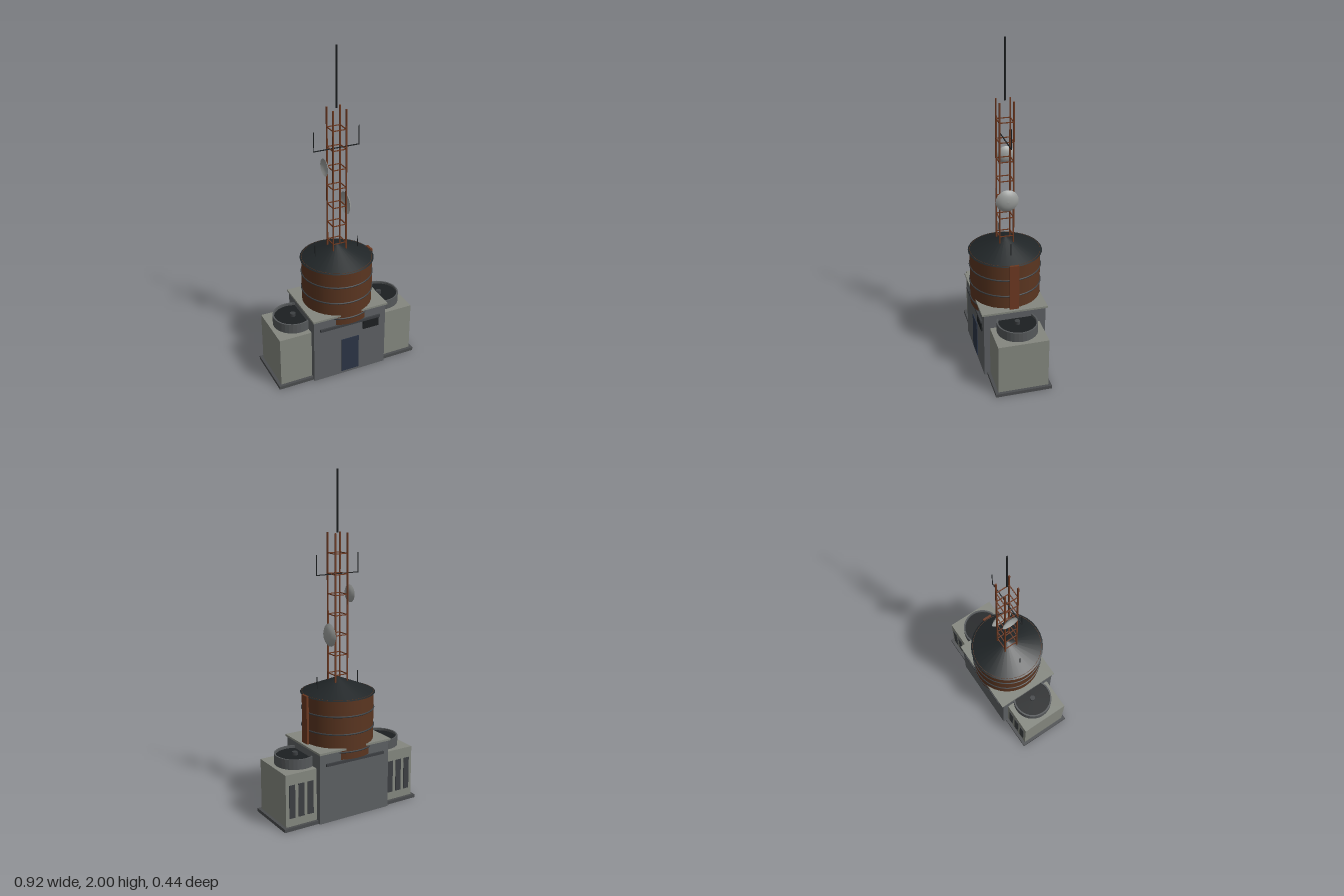
import * as THREE from 'three';

const mat = (color, side = THREE.FrontSide) => {
  const m = new THREE.MeshStandardMaterial({ side });
  m.color.set(color);
  return m;
};
const M = {
  base: mat(0x4a4c4e), wall: mat(0x5c5f62), light: mat(0x84877f), dark: mat(0x1c1f21),
  trim: mat(0x3c3f42), door: mat(0x2b3445), tank: mat(0x5a3520), rust: mat(0x6b3820),
  roof: mat(0x202527), shroud: mat(0x55585a, THREE.DoubleSide), dish: mat(0x9a9d9b, THREE.DoubleSide),
};

export function createModel() {
  const model = new THREE.Group();

  const add = (name, geo, material, x, y, z, parent = model) => {
    const mesh = new THREE.Mesh(geo, material);
    mesh.name = name;
    mesh.position.set(x, y, z);
    parent.add(mesh);
    return mesh;
  };
  // box given by its centre in x and z and its bottom and top in y
  const box = (name, material, x, z, w, d, y0, y1, parent) =>
    add(name, new THREE.BoxGeometry(w, y1 - y0, d), material, x, (y0 + y1) / 2, z, parent);
  const rod = (name, material, x, z, r, y0, y1, parent) =>
    add(name, new THREE.CylinderGeometry(r, r, y1 - y0, 8), material, x, (y0 + y1) / 2, z, parent);

  // Foundation and central building
  box('foundation', M.base, 0, 0, 0.916, 0.34, 0, 0.02);
  box('mainBuilding', M.wall, 0, 0, 0.476, 0.376, 0.002, 0.428);
  box('roofSlab', M.light, 0, 0, 0.49, 0.4, 0.426, 0.438);
  box('door', M.door, 0, 0.188, 0.114, 0.01, 0.02, 0.252);
  box('window', M.dark, 0.138, 0.188, 0.106, 0.014, 0.29, 0.345);
  for (const s of [1, -1]) box('wallLedge', M.trim, 0, s * 0.19, 0.396, 0.018, 0.35, 0.366);

  // Side wings, each with a cooling fan on top and louvres at the back
  for (const s of [1, -1]) {
    const wing = new THREE.Group();
    wing.name = s > 0 ? 'leftWing' : 'rightWing';
    model.add(wing);
    box('wingBody', M.light, s * 0.335, 0, 0.21, 0.304, 0.02, 0.335, wing);
    for (let i = -1; i <= 1; i++) {
      box('louvre', M.trim, s * 0.34 + i * 0.06, -0.152, 0.038, 0.008, 0.07, 0.27, wing);
    }
    const ring = [[0.122, 0], [0.122, 0.06], [0.113, 0.06], [0.113, 0]]
      .map(([r, y]) => new THREE.Vector2(r, y));
    const shroudGeo = new THREE.LatheGeometry(ring, 32).toNonIndexed();
    shroudGeo.computeVertexNormals();
    add('fanShroud', shroudGeo, M.shroud, s * 0.293, 0.335, 0, wing);
    rod('fanHub', M.trim, s * 0.293, 0, 0.017, 0.335, 0.4, wing);
    add('fanDisc', new THREE.CylinderGeometry(0.113, 0.113, 0.045, 32), M.dark, s * 0.293, 0.358, 0, wing);
  }

  // Water tank with hoops, conical roof and ladder
  add('tank', new THREE.CylinderGeometry(0.212, 0.212, 0.355, 32), M.tank, 0, 0.5475, 0);
  for (const y of [0.414, 0.52, 0.626]) {
    add('tankHoop', new THREE.TorusGeometry(0.213, 0.005, 6, 32), M.trim, 0, y, 0).rotation.x = Math.PI / 2;
  }
  add('tankRoof', new THREE.ConeGeometry(0.222, 0.092, 32), M.roof, 0, 0.766, 0);
  box('tankLadder', M.rust, 0.221, 0, 0.014, 0.056, 0.37, 0.728);

  // Lattice mast: four legs with a square of rungs at each level
  const mast = new THREE.Group();
  mast.name = 'mast';
  model.add(mast);
  const h = 0.041, y0 = 0.711, step = 0.1175;
  for (const x of [-h, h]) for (const z of [-h, h]) box('mastLeg', M.rust, x, z, 0.008, 0.008, y0, 1.65, mast);
  for (let i = 0; i < 8; i++) {
    const y = y0 + i * step;
    for (const s of [-h, h]) {
      box('rungAcross', M.rust, 0, s, 2 * h, 0.005, y - 0.0025, y + 0.0025, mast);
      box('rungDeep', M.rust, s, 0, 0.005, 2 * h, y - 0.0025, y + 0.0025, mast);
    }
  }
  rod('topAntenna', M.dark, 0, 0, 0.005, 1.65, 2, mast);

  // Cross arms with whip antennas
  for (const y of [y0, y0 + 6 * step]) {
    box('crossArm', M.dark, 0, 0, 0.284, 0.005, y - 0.0025, y + 0.0025, mast);
    for (const s of [-1, 1]) rod('whipAntenna', M.dark, s * 0.14, 0, 0.0025, y, y + 0.115, mast);
  }

  // Dishes: shallow bowls bulging towards +x
  const bowl = [[0.068, 0], [0.054, 0.011], [0.036, 0.019], [0.018, 0.0225], [0, 0.024]]
    .map(([r, y]) => new THREE.Vector2(r, y));
  const dishGeo = new THREE.LatheGeometry(bowl, 20).rotateZ(-Math.PI / 2);
  add('lowerDish', dishGeo, M.dish, 0.054, 1.063, 0, mast);
  add('upperDish', dishGeo, M.dish, -0.068, 1.3, -0.022, mast).scale.setScalar(0.77);

  return model;
}
